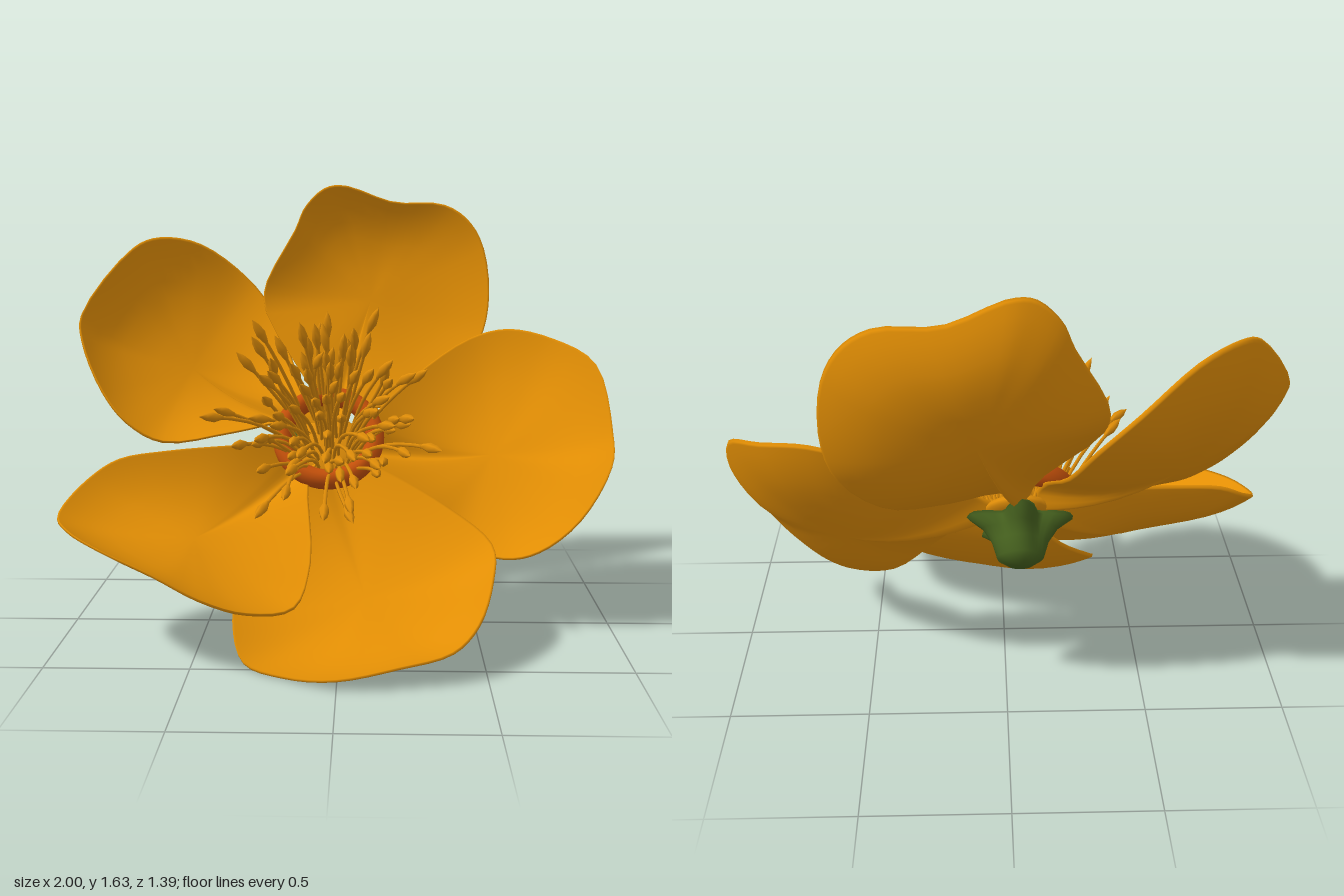
import * as THREE from 'three';
import { mergeGeometries, mergeVertices } from 'three/addons/utils/BufferGeometryUtils.js';

const V = (x, y, z) => new THREE.Vector3(x, y, z);

// Edge loops of the five petals, from the base tip counter-clockwise seen from the front
const topEdge = [[-.05, .665, -.18], [0, .75, -.21], [.2, .77, -.31], [.4, .83, -.44], [.55, 1, -.54], [.59, 1.17, -.58],
  [.565, 1.38, -.61], [.5, 1.49, -.62], [.4, 1.55, -.63], [.2, 1.56, -.64], [0, 1.625, -.6], [-.08, 1.615, -.58],
  [-.16, 1.54, -.57], [-.2, 1.45, -.56], [-.32, 1.22, -.5], [-.31, 1.12, -.46], [-.11, .82, -.25]];
const leftEdge = [[-.01, .635, -.15], [.09, .6, -.11], [.25, .45, -.04], [.42, .3, 0], [.6, .26, .07], [.72, .3, .12],
  [.86, .43, .16], [.97, .62, .13], [.995, .73, 0], [.96, .95, -.18], [.82, 1.03, -.35], [.65, 1.06, -.43],
  [.5, 1.02, -.44], [.28, .88, -.35], [.1, .72, -.19]];
const bottomEdge = [[-.04, .615, -.135], [-.1, .55, -.07], [-.22, .38, .03], [-.36, .2, .22], [-.37, .11, .36],
  [-.32, .02, .5], [-.18, .005, .59], [0, .035, .69], [.2, .07, .67], [.38, .105, .62], [.47, .17, .54], [.53, .28, .39],
  [.54, .36, .22], [.4, .45, .07], [.14, .57, -.07]];
const lowerRightEdge = [[-.08, .62, -.14], [-.17, .66, -.11], [-.4, .66, -.04], [-.65, .645, 0], [-.82, .62, .03],
  [-.92, .56, .08], [-.995, .47, .24], [-.93, .45, .4], [-.78, .42, .55], [-.6, .36, .62], [-.45, .27, .6],
  [-.3, .19, .5], [-.15, .18, .4], [-.1, .3, .27], [-.12, .54, 0]];
const upperRightEdge = [[-.08, .655, -.17], [-.12, .77, -.21], [-.2, .92, -.42], [-.28, 1.1, -.57], [-.4, 1.25, -.62],
  [-.58, 1.39, -.55], [-.73, 1.42, -.44], [-.82, 1.38, -.34], [-.98, 1.14, -.14], [-.97, 1.05, -.09], [-.88, .87, 0],
  [-.78, .76, .05], [-.65, .69, .05], [-.4, .71, -.04], [-.18, .73, -.14]];

// A thin cupped petal: rings run from the centre to the edge, then back behind
function petalGeometry(edge, depth) {
  const N = 60, thick = .012;
  const curve = new THREE.CatmullRomCurve3(edge.map(p => V(...p)), true, 'centripetal');
  const loop = curve.getPoints(N).slice(0, N);
  const centre = V(0, 0, 0), normal = V(0, 0, 0);
  loop.forEach(p => centre.addScaledVector(p, 1 / N));
  loop.forEach((p, i) => normal.add(p.clone().sub(centre).cross(loop[(i + 1) % N].clone().sub(centre))));
  normal.normalize();

  const ts = [0, .15, .3, .45, .6, .72, .83, .92, .985, 1];
  const rings = [...ts.map(t => [t, 0]), ...ts.slice().reverse().map(t => [t, -thick])];
  const pos = [], index = [];
  for (const [t, offset] of rings) {
    loop.forEach((p, i) => {
      const d = p.clone().sub(centre), h = d.dot(normal);
      const flat = d.addScaledVector(normal, -h);
      // The cup is gentle towards the base and curls up sharply at the rim
      const curl = 2.1 + 1.1 * Math.sin(Math.PI * i / N) ** 2;
      const height = h * t * t - depth * (1 - t ** curl) + offset;
      const q = centre.clone().addScaledVector(flat, t).addScaledVector(normal, height);
      pos.push(q.x, q.y, q.z);
    });
  }
  for (let j = 0; j < rings.length - 1; j++) {
    for (let i = 0; i < N; i++) {
      const k = (i + 1) % N, a = j * N + i, b = j * N + k, c = a + N, d = b + N;
      index.push(a, c, d, a, d, b);
    }
  }
  const g = new THREE.BufferGeometry();
  g.setAttribute('position', new THREE.Float32BufferAttribute(pos, 3));
  g.setIndex(index);
  const merged = mergeVertices(g, 1e-5);
  merged.computeVertexNormals();
  return merged;
}

// Curved filaments with spindle-shaped anthers, fanned about the local y axis
function stamenGeometry() {
  let seed = 7;
  const rnd = () => (seed = (seed * 16807) % 2147483647) / 2147483647;
  const parts = [], count = 88, up = V(0, 1, 0);
  const spindle = [[0, -.06], [.009, -.04], [.018, -.005], [.013, .03], [0, .06]].map(p => new THREE.Vector2(...p));
  for (let i = 0; i < count; i++) {
    const r = Math.sqrt((i + .5) / count), a = i * 2.39996 + (rnd() - .5) * .6;
    const c = Math.cos(a), s = Math.sin(a);
    const spread = .35 * r * (.75 + .4 * rnd());
    const h = .45 - .16 * r + (rnd() - .5) * .17;
    const base = V(c * .14 * r, -.06, s * .14 * r);
    const tip = V(c * spread + (rnd() - .5) * .08, h, s * spread * 1.15 + .05 + (rnd() - .5) * .06);
    const out = (.09 + .12 * r) * r * 1.2;
    const bend = V(c * out + (rnd() - .5) * .04, h * .55, s * out + .01);
    const curve = new THREE.QuadraticBezierCurve3(base, bend, tip);
    parts.push(new THREE.TubeGeometry(curve, 6, .007, 5));
    const dir = curve.getTangent(1);
    const anther = new THREE.LatheGeometry(spindle, 6);
    anther.applyQuaternion(new THREE.Quaternion().setFromUnitVectors(up, dir));
    parts.push(anther.translate(tip.x, tip.y, tip.z));
  }
  return mergeGeometries(parts);
}

// Blunt cup that flares into five sepals
function calyxGeometry() {
  const profile = [[0, -.28], [.045, -.28], [.085, -.255], [.105, -.2], [.14, -.155], [.2, -.12], [.19, -.105], [.1, -.115], [0, -.115]];
  const g = new THREE.LatheGeometry(profile.map(p => new THREE.Vector2(...p)), 40);
  const p = g.attributes.position;
  for (let i = 0; i < p.count; i++) {
    const x = p.getX(i), z = p.getZ(i), r = Math.hypot(x, z);
    const valley = (1 - Math.cos(5 * (Math.atan2(z, x) + .35))) / 2;
    const k = 1 - .45 * THREE.MathUtils.smoothstep(r, .06, .2) * valley;
    p.setX(i, x * k);
    p.setZ(i, z * k);
  }
  g.computeVertexNormals();
  return g;
}

export function createModel() {
  const material = (name, color) => {
    const m = new THREE.MeshStandardMaterial({ color });
    m.name = name;
    return m;
  };
  const petalOrange = material('petal orange', 0xe28e04);
  const stamenOrange = material('stamen gold', 0xde8c08);
  const ringRed = material('ring red orange', 0xc4500a);
  const leafGreen = material('sepal green', 0x45601e);

  const model = new THREE.Group();
  model.name = 'flower';
  const add = (parent, name, geometry, mat) => {
    const mesh = new THREE.Mesh(geometry, mat);
    mesh.name = name;
    parent.add(mesh);
  };

  // Petals
  add(model, 'topPetal', petalGeometry(topEdge, .14), petalOrange);
  add(model, 'leftPetal', petalGeometry(leftEdge, .135), petalOrange);
  add(model, 'bottomPetal', petalGeometry(bottomEdge, .125), petalOrange);
  add(model, 'lowerRightPetal', petalGeometry(lowerRightEdge, .125), petalOrange);
  add(model, 'upperRightPetal', petalGeometry(upperRightEdge, .135), petalOrange);

  // Flower heart, tilted so its local y is the flower axis
  const heart = new THREE.Group();
  heart.name = 'heart';
  heart.position.set(-.05, .68, -.1);
  heart.rotation.x = .927;
  model.add(heart);
  add(heart, 'ring', new THREE.TorusGeometry(.174, .036, 12, 40).rotateX(Math.PI / 2).scale(1, 1.25, 1), ringRed);
  add(heart, 'receptacle', new THREE.SphereGeometry(.13, 20, 10).scale(1, .3, 1).translate(0, -.075, 0), stamenOrange);
  add(heart, 'stamens', stamenGeometry(), stamenOrange);
  add(heart, 'calyx', calyxGeometry(), leafGreen);

  return model;
}
